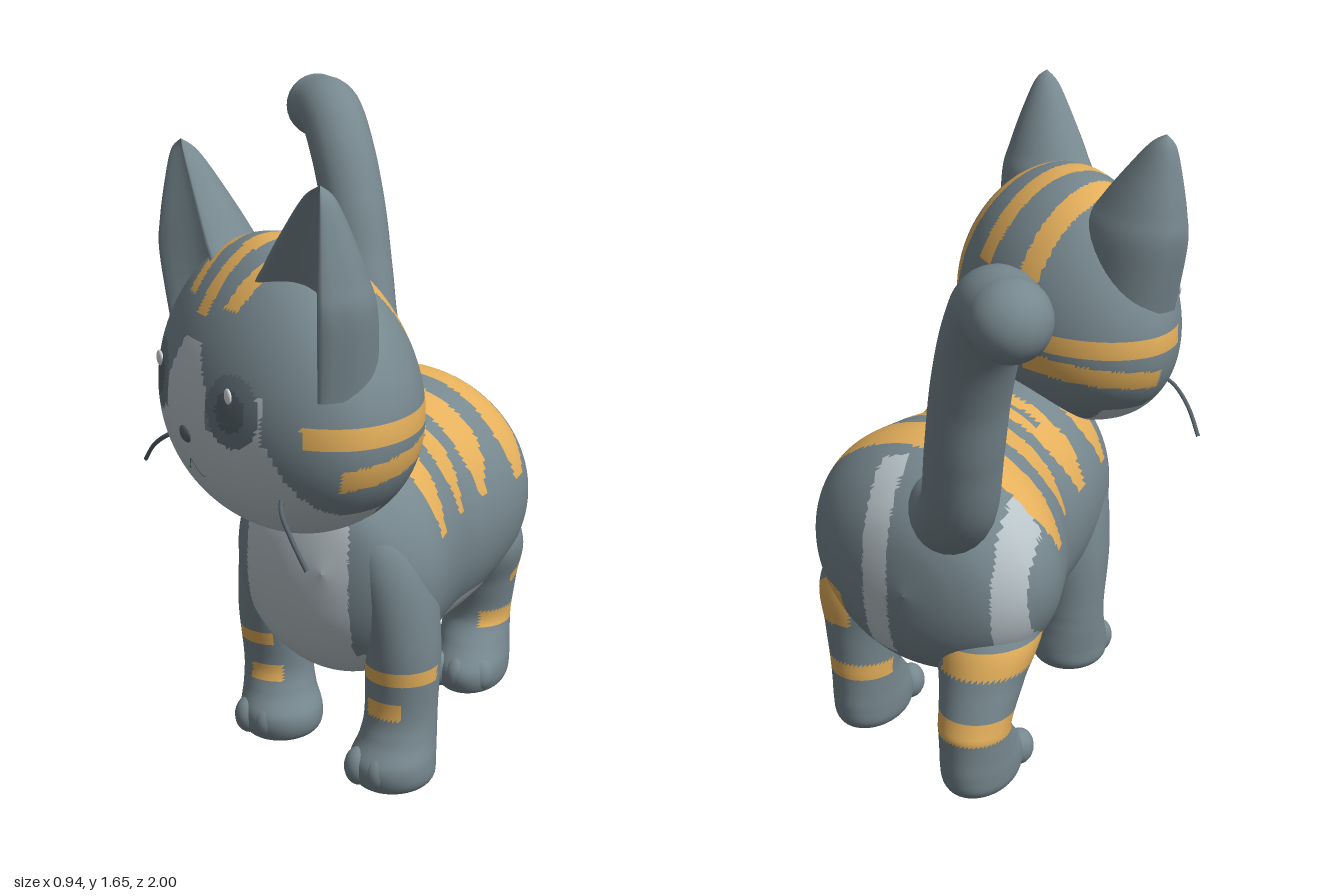
import * as THREE from 'three';

const mat = (name, color) => Object.assign(new THREE.MeshStandardMaterial({ color }), { name });
const grey = mat('grey fur', 0x77888f);
const orange = mat('orange stripes', 0xe5b05c);
const light = mat('light fur', 0xbac5ca);
const eyeGrey = mat('eye grey', 0x687880);
const dark = mat('dark grey', 0x58666d);
const white = mat('eye glint', 0xdde4e6);
const FUR = [grey, orange, light, eyeGrey, dark];
const GREY = 0, ORANGE = 1, LIGHT = 2, EYE = 3, PUPIL = 4;

const spline = (a, b, c, d, t) =>
  0.5 * (2 * b + (c - a) * t + (2 * a - 5 * b + 4 * c - d) * t * t + (3 * b - a - 3 * c + d) * t * t * t);

// Smooth closed skin through cross-sections; place(ring, cos, sin) gives a point
function loft(rings, steps, sides, place) {
  const pos = [], idx = [], last = rings.length - 1;
  const at = (i) => rings[Math.min(last, Math.max(0, i))];
  for (let i = 0; i <= steps; i++) {
    const f = (i / steps) * last, k = Math.min(last - 1, Math.floor(f));
    const ring = rings[0].map((_, n) => spline(at(k - 1)[n], at(k)[n], at(k + 1)[n], at(k + 2)[n], f - k));
    for (let j = 0; j < sides; j++) {
      const a = (j / sides) * Math.PI * 2;
      pos.push(...place(ring, Math.cos(a), Math.sin(a)));
      if (i === steps) continue;
      const p = i * sides + j, q = i * sides + ((j + 1) % sides);
      idx.push(p, p + sides, q, q, p + sides, q + sides);
    }
  }
  const geo = new THREE.BufferGeometry();
  geo.setAttribute('position', new THREE.Float32BufferAttribute(pos, 3));
  geo.setIndex(idx);
  geo.computeVertexNormals();
  return geo;
}

// Sort triangles into fur colours by the position of their centre
function paint(geo, rule) {
  const p = geo.attributes.position, idx = geo.index.array, sets = FUR.map(() => []);
  for (let i = 0; i < idx.length; i += 3) {
    const t = [idx[i], idx[i + 1], idx[i + 2]];
    const mean = (get) => t.reduce((s, v) => s + p[get](v), 0) / 3;
    sets[rule(mean('getX'), mean('getY'), mean('getZ'))].push(...t);
  }
  geo.setIndex(sets.flat());
  let start = 0;
  sets.forEach((s, m) => { geo.addGroup(start, s.length, m); start += s.length; });
  return geo;
}

function add(parent, name, geo, material) {
  const mesh = new THREE.Mesh(geo, material);
  mesh.name = name;
  parent.add(mesh);
  return mesh;
}

function blob(parent, name, material, [x, y, z], [sx, sy, sz]) {
  const m = add(parent, name, new THREE.SphereGeometry(1, 20, 14), material);
  m.position.set(x, y, z);
  m.scale.set(sx, sy, sz);
}

const tube = (pts, r, n = 24) => new THREE.TubeGeometry(
  new THREE.CatmullRomCurve3(pts.map((p) => new THREE.Vector3(...p))), n, r, r > 0.02 ? 24 : 6);

// Wedge-shaped patch across the left thigh
function thighPatch(x, y, z) {
  const d = -0.19 - z;
  return x > 0.3 && d > 0 && d < 0.23 && y > 0.32 + 0.2 * d && y < Math.min(0.5, 0.345 + d);
}

function bodyRule(x, y, z) {
  const zu = z - 0.17 * (x - 0.085);
  if (thighPatch(x, y, z)) return ORANGE;
  if (x < -0.1 && z < -0.3 && Math.abs(y - 0.4) < 0.035) return ORANGE;
  if (y > 0.66) {
    const taper = 0.4 + 0.6 * THREE.MathUtils.smoothstep(y, 0.66, 0.8);
    for (const [c, w] of [[-0.225, 0.062], [-0.04, 0.047], [0.12, 0.055], [0.31, 0.05]]) {
      const off = Math.abs(zu - c + 0.22 * (y - 0.82));
      if (off < w * taper && !(c === 0.12 && off < 0.013 && y > 0.84)) return ORANGE;
    }
  }
  const band = Math.abs(x + 0.02);
  if (z < -0.33 && y > 0.36 && band > 0.145 && band < 0.225) return LIGHT;
  if (z > 0.3 && x > -0.14 && x < 0.17 && y < 0.85) return LIGHT;
  return y < 0.37 && z > -0.3 ? LIGHT : GREY;
}

function headRule(x, y, z) {
  const u = Math.abs(x), fan = 1 - 1.5 * z;
  // Crown stripes, bent into cheek stripes
  const w = z > 0.08 ? 0.026 : 0.038;
  if (y > (z > 0 ? 0.19 : 0.12) && u < w) return ORANGE;
  if (y > (z > 0 ? 0.22 : -0.05) && Math.abs(u - 0.15 * fan) < w) return ORANGE;
  if (u > 0.2 && z < 0.14 && y > -0.055 && y < 0.0) return ORANGE;
  if (u > 0.23 && z < 0.06 && Math.abs(y + 0.125 + 0.12 * z) < 0.028) return ORANGE;
  if (z < -0.2 && u < 0.085 && Math.abs(y + 0.04 + 5 * u * u) < 0.032) return ORANGE;
  if (z < -0.08) return y < -0.29 ? LIGHT : GREY;
  // Eyes
  const eye = Math.hypot(u - 0.2, y);
  if (eye < 0.088) return eye < 0.05 ? PUPIL : EYE;
  // Light muzzle, blaze and eye surrounds
  if (y < -0.23 || (z > 0 && y < -0.06 && u < 0.31 + 0.4 * (-0.06 - y))) return LIGHT;
  if (z > 0 && y < 0.135 && u < 0.11 - 0.6 * Math.max(0, y - 0.02)) return LIGHT;
  return u > 0.15 && u < 0.295 && y < 0.05 && z > 0 ? LIGHT : GREY;
}

const legRings = {
  // height, forward offset, inward offset, half width, half length
  front: [[0, 0.02, 0, 0.001, 0.001], [0.005, 0.025, 0, 0.075, 0.08], [0.03, 0.025, 0, 0.108, 0.108],
    [0.08, 0.025, 0, 0.112, 0.114], [0.14, 0.008, -0.01, 0.1, 0.097], [0.22, 0, -0.015, 0.095, 0.09],
    [0.4, 0, -0.015, 0.1, 0.115], [0.6, 0, 0.015, 0.105, 0.13], [0.72, 0, 0.06, 0.085, 0.1],
    [0.8, 0, 0.1, 0.001, 0.001]],
  hind: [[0, 0.05, 0, 0.001, 0.001], [0.005, 0.05, 0, 0.075, 0.11], [0.03, 0.048, 0, 0.1, 0.145],
    [0.08, 0.045, 0, 0.105, 0.152], [0.14, 0.018, 0, 0.1, 0.125], [0.21, -0.005, 0, 0.098, 0.105],
    [0.32, 0, 0, 0.115, 0.125], [0.45, 0.02, 0.01, 0.145, 0.165], [0.6, 0.03, 0.06, 0.12, 0.15],
    [0.72, 0.03, 0.1, 0.001, 0.001]],
};

// Lean moves the top of a leg forward; marked(x, y, z) picks its stripes
function addLeg(cat, name, kind, X, Z, lean, marked) {
  const side = X > 0 ? 1 : -1;
  const geo = loft(legRings[kind], 90, 52, ([y, f, inward, rx, rz], c, s) =>
    [X - side * inward + rx * c, Math.max(0, y), Z + f + lean * Math.max(0, y - 0.2) + rz * s]);
  add(cat, name, paint(geo, (x, y, z) => (marked(x, y, z) ? ORANGE : GREY)), FUR);
  const toe = kind === 'front' ? 0.098 : 0.155;
  for (const i of [-1, 0, 1]) {
    blob(cat, name + 'Toe', grey, [X - 0.015 + i * 0.06, 0.062, Z + toe - Math.abs(i) * 0.02], [0.04, 0.052, 0.045]);
  }
}

function createHead() {
  const head = new THREE.Group();
  head.name = 'head';
  const rings = Array.from({ length: 17 }, (_, i) => {
    const a = (i / 16 - 0.5) * Math.PI;
    return [Math.sin(a), Math.max(0.001, Math.cos(a))];
  });
  const skull = loft(rings, 110, 170, ([h, r], c, s) => {
    const k = r * (1 - 0.13 * h);
    return [0.455 * k * c, 0.366 * h, (s > 0 ? 0.26 : 0.315) * k * s];
  });
  add(head, 'skull', paint(skull, headRule), FUR);

  for (const s of [1, -1]) {
    // Ear with a hollow front: height, centre x, centre z, half width, half depth
    const ear = [[0.06, 0.28, 0.04, 0.15, 0.14], [0.25, 0.28, 0.055, 0.185, 0.14], [0.34, 0.307, 0.065, 0.15, 0.115],
      [0.44, 0.342, 0.075, 0.095, 0.075], [0.52, 0.37, 0.083, 0.043, 0.036], [0.55, 0.38, 0.085, 0.001, 0.001]];
    add(head, s > 0 ? 'leftEar' : 'rightEar', loft(ear, 30, 40, ([y, x, z, w, d], c, sn) =>
      [s * x + w * c, y, z + d * (sn < 0 ? sn : 2.2 * sn - 2.4 * sn * sn)]), grey);
    blob(head, 'eyeGlint', white, [s * 0.2 - 0.012, 0.035, 0.23], [0.018, 0.02, 0.006]);
    add(head, 'whisker', tube([[s * 0.28, -0.18, 0.13], [s * 0.33, -0.21, 0.165], [s * 0.4, -0.255, 0.175],
      [s * 0.472, -0.315, 0.17]], 0.006), dark);
    add(head, 'mouth', tube([[0, -0.165, 0.24], [s * 0.035, -0.2, 0.226], [s * 0.075, -0.19, 0.225]], 0.007), dark);
  }
  blob(head, 'nose', dark, [0, -0.1, 0.252], [0.035, 0.024, 0.015]);
  head.position.set(-0.02, 1.084, 0.54);
  head.rotation.y = -Math.PI / 4;
  return head;
}

export function createModel() {
  const cat = new THREE.Group();
  cat.name = 'cat';

  // Torso sections: z, centre x, half width, bottom, top
  const torso = [[0.59, 0.1, 0.001, 0.6, 0.602], [0.565, 0.1, 0.13, 0.44, 0.75], [0.5, 0.09, 0.235, 0.32, 0.82],
    [0.4, 0.085, 0.29, 0.26, 0.88], [0.25, 0.08, 0.3, 0.23, 0.905], [0.05, 0.085, 0.3, 0.215, 0.893],
    [-0.1, 0.09, 0.345, 0.22, 0.915], [-0.24, 0.09, 0.375, 0.25, 0.928], [-0.36, 0.085, 0.34, 0.29, 0.89],
    [-0.45, 0.08, 0.25, 0.36, 0.81], [-0.495, 0.075, 0.14, 0.45, 0.72], [-0.515, 0.07, 0.001, 0.58, 0.582]];
  const body = loft(torso, 132, 108, ([z, cx, w, lo, hi], c, s) =>
    [cx + w * c, (lo + hi) / 2 + ((hi - lo) / 2) * s, z + 0.17 * w * c]);
  add(cat, 'body', paint(body, bodyRule), FUR);

  // Legs with short front stripes and bands around the hind shanks
  const dash = (x, y, cy, x0, x1) => Math.abs(y - cy) < 0.021 && x > x0 && x < x1;
  addLeg(cat, 'leftFrontLeg', 'front', 0.26, 0.46, 0, (x, y, z) =>
    z > 0.48 && (dash(x, y, 0.32, 0.19, 0.38) || dash(x, y, 0.225, 0.2, 0.3)));
  addLeg(cat, 'rightFrontLeg', 'front', -0.115, 0.25, 0.1, (x, y, z) =>
    z > 0.27 && (dash(x, y, 0.3, -0.22, -0.11) || dash(x, y, 0.195, -0.18, -0.09)));
  addLeg(cat, 'leftHindLeg', 'hind', 0.31, -0.25, 0.1, (x, y, z) =>
    thighPatch(x, y, z) || (Math.abs(y - 0.21) < 0.025 && (x > 0.34 || z < -0.28)));
  addLeg(cat, 'rightHindLeg', 'hind', -0.105, -0.455, 0.45, (x, y, z) =>
    (x < -0.14 || z < -0.48) && (Math.abs(y - 0.22) < 0.03 || Math.abs(y - 0.4) < 0.035));

  // Raised tail with a round tip
  const tail = [[0.02, 0.79, -0.36], [-0.05, 0.82, -0.48], [-0.12, 0.92, -0.585], [-0.16, 1.1, -0.645],
    [-0.195, 1.28, -0.685], [-0.25, 1.45, -0.745], [-0.31, 1.545, -0.82], [-0.375, 1.553, -0.9]];
  add(cat, 'tail', tube(tail, 0.097, 60), grey);
  blob(cat, 'tailTip', grey, tail[7], [0.097, 0.097, 0.097]);

  cat.add(createHead());
  return cat;
}
